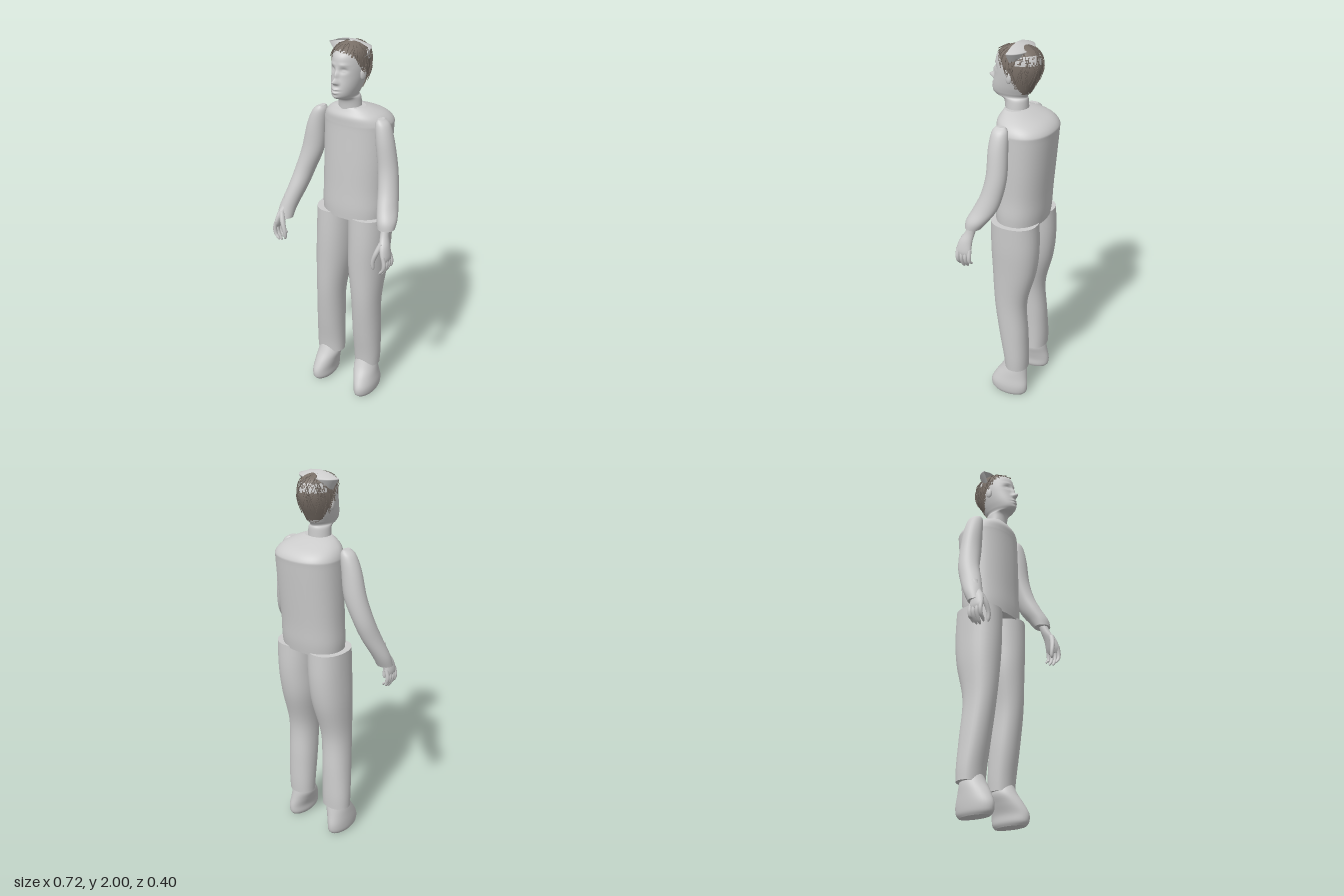
import * as THREE from 'three';
import { mergeGeometries } from 'three/addons/utils/BufferGeometryUtils.js';

const grey = new THREE.MeshStandardMaterial({ color: 0xcccccc, side: THREE.DoubleSide });
grey.name = 'plain grey';
const brown = new THREE.MeshStandardMaterial({ color: 0x7a7068, side: THREE.DoubleSide });
brown.name = 'hair brown';

let seed = 7;
const rnd = () => (seed = (seed * 16807) % 2147483647) / 2147483647;

// Smoothly interpolated section [y, cx, cz, rx, rz] at row position t
function section(rows, t) {
  const i = Math.min(Math.floor(t), rows.length - 2), f = t - i;
  const at = k => rows[Math.max(0, Math.min(rows.length - 1, k))];
  return at(i).map((b, c) => {
    const a = at(i - 1)[c], d = at(i + 1)[c], e = at(i + 2)[c];
    return b + 0.5 * f * (d - a + f * (2 * a - 5 * b + 4 * d - e + f * (3 * (b - d) + e - a)));
  });
}

// Point on a section at angle a; power < 1 squares the oval
function pointOn([y, cx, cz, rx, rz], a, power = 1, outset = 0) {
  const round = v => Math.sign(v) * Math.abs(v) ** power;
  return [cx + (Math.max(rx, 0.001) + outset) * round(Math.cos(a)), y,
    cz + (Math.max(rz, 0.001) + outset) * round(Math.sin(a))];
}

// Skin through oval sections listed from top to bottom
function loft(rows, { sides = 32, steps = 5, power = 1, outset = 0, move, keep, caps = true } = {}) {
  const pos = [], index = [], n = (rows.length - 1) * steps;
  for (let j = 0; j <= n; j++) for (let i = 0; i < sides; i++) {
    const a = i / sides * Math.PI * 2;
    const p = pointOn(section(rows, j / steps), a, power, outset);
    if (move) move(p, a);
    pos.push(...p);
  }
  for (let j = 0; j < n; j++) for (let i = 0; i < sides; i++) {
    const k = (i + 1) % sides, A = j * sides + i, B = j * sides + k;
    if (keep && !keep(pos[A * 3], pos[A * 3 + 1], pos[A * 3 + 2])) continue;
    index.push(A, B, A + sides, B, B + sides, A + sides);
  }
  if (caps) for (const [row, j] of [[rows[0], 0], [rows.at(-1), n]]) {
    const c = pos.length / 3;
    pos.push(row[1], row[0], row[2], ...pos.slice(j * sides * 3, (j + 1) * sides * 3));
    for (let i = 0; i < sides; i++) {
      const p = c + 1 + i, q = c + 1 + (i + 1) % sides;
      index.push(c, ...(j ? [p, q] : [q, p]));
    }
  }
  const g = new THREE.BufferGeometry();
  g.setAttribute('position', new THREE.Float32BufferAttribute(pos, 3));
  g.setIndex(index);
  g.computeVertexNormals();
  return g;
}

const HEAD = [
  [1.993, 0.02, 0, 0.012, 0.015], [1.973, 0.02, 0, 0.052, 0.072], [1.94, 0.02, 0.005, 0.072, 0.107],
  [1.89, 0.02, 0.006, 0.079, 0.117], [1.84, 0.02, 0.015, 0.076, 0.113], [1.79, 0.02, 0.033, 0.066, 0.106],
  [1.755, 0.02, 0.044, 0.055, 0.098], [1.735, 0.02, 0.043, 0.048, 0.083],
  [1.715, 0.02, 0.018, 0.054, 0.062], [1.64, 0.02, 0.012, 0.062, 0.058],
];

// Face relief: [x, y, width, height, depth]
const RELIEF = [
  [0, 1.822, 0.011, 0.011, 0.032], [0, 1.85, 0.009, 0.02, 0.016], [0.012, 1.815, 0.007, 0.007, 0.01],
  [0.03, 1.873, 0.016, 0.011, -0.014], [0.03, 1.871, 0.01, 0.006, 0.008], [0.03, 1.9, 0.02, 0.007, 0.004],
  [0, 1.785, 0.018, 0.005, 0.009], [0, 1.769, 0.016, 0.006, 0.009], [0, 1.777, 0.02, 0.002, -0.005],
  [0, 1.745, 0.018, 0.01, 0.005],
];

function shapeFace(p, a) {
  if (Math.sin(a) <= 0.2) return;
  const x = Math.abs(p[0] - 0.02), y = p[1];
  for (const [bx, by, w, h, d] of RELIEF)
    p[2] += d * Math.exp(-(((x - bx) / w) ** 2) - ((y - by) / h) ** 2);
}

// Lowest height hair reaches at depth z
const hairline = z => z > 0.02
  ? 1.86 + (z - 0.02) / 0.07 * 0.085
  : Math.max(1.745, 1.86 + (z - 0.02) * 2);

export function createModel() {
  const model = new THREE.Group();
  const add = (name, geometry, material = grey, parent = model) => {
    const m = new THREE.Mesh(geometry, material);
    m.name = name;
    parent.add(m);
    return m;
  };

  // Shirt
  add('shirt', loft([
    [1.678, 0.025, 0.01, 0.075, 0.056], [1.662, 0.025, -0.01, 0.115, 0.085], [1.635, 0.028, -0.035, 0.155, 0.125],
    [1.6, 0.03, -0.052, 0.178, 0.143], [1.56, 0.03, -0.052, 0.18, 0.143], [1.4, 0.028, -0.042, 0.178, 0.138],
    [1.25, 0.025, -0.033, 0.175, 0.132], [1.15, 0.025, -0.028, 0.177, 0.13], [1.09, 0.025, -0.025, 0.173, 0.125],
  ], { sides: 48, power: 0.9 }));

  // Trouser legs
  const legs = {
    leftTrouserLeg: [[1.1, 0.122, -0.025, 0.106, 0.125], [0.95, 0.12, -0.025, 0.102, 0.128],
      [0.8, 0.115, -0.018, 0.095, 0.118], [0.6, 0.12, 0.002, 0.076, 0.088], [0.4, 0.115, -0.012, 0.076, 0.078],
      [0.25, 0.112, -0.025, 0.074, 0.068], [0.17, 0.11, -0.028, 0.07, 0.063]],
    rightTrouserLeg: [[1.1, -0.08, -0.025, 0.1, 0.125], [0.95, -0.086, -0.025, 0.099, 0.128],
      [0.8, -0.095, -0.018, 0.094, 0.118], [0.6, -0.11, 0.002, 0.076, 0.088], [0.4, -0.125, -0.012, 0.077, 0.078],
      [0.25, -0.135, -0.025, 0.08, 0.068], [0.17, -0.137, -0.028, 0.08, 0.063]],
  };
  for (const [name, rows] of Object.entries(legs)) add(name, loft(rows, { power: 0.92 }));

  // Shoes
  const shoe = cx => loft([
    [0.21, cx[0], -0.02, 0.05, 0.055], [0.16, cx[0], -0.012, 0.063, 0.072], [0.11, cx[1], 0.0, 0.06, 0.092],
    [0.06, cx[2], 0.008, 0.055, 0.108], [0.02, cx[2], 0.009, 0.052, 0.106], [0, cx[2], 0.008, 0.043, 0.09],
  ]);
  add('leftShoe', shoe([0.112, 0.123, 0.135]));
  add('rightShoe', shoe([-0.137, -0.144, -0.15]));

  // Sleeves
  add('leftSleeve', loft([
    [1.638, 0.2, 0.01, 0.014, 0.025], [1.61, 0.21, 0.01, 0.036, 0.042], [1.53, 0.226, 0.012, 0.046, 0.05],
    [1.4, 0.245, 0.012, 0.05, 0.053], [1.3, 0.262, 0.03, 0.05, 0.057], [1.22, 0.28, 0.06, 0.05, 0.062],
    [1.16, 0.3, 0.095, 0.05, 0.056], [1.12, 0.306, 0.113, 0.045, 0.043],
  ]));
  add('rightSleeve', loft([
    [1.638, -0.155, 0.01, 0.014, 0.025], [1.61, -0.167, 0.01, 0.038, 0.042], [1.53, -0.188, 0.012, 0.052, 0.05],
    [1.4, -0.212, 0.015, 0.06, 0.055], [1.28, -0.25, 0.035, 0.054, 0.057], [1.18, -0.277, 0.07, 0.05, 0.057],
    [1.08, -0.308, 0.112, 0.047, 0.048], [1.02, -0.316, 0.136, 0.044, 0.04],
  ]));

  // Hands: palm, four curled fingers and a thumb
  for (const s of [1, -1]) {
    const hand = new THREE.Group();
    hand.name = s > 0 ? 'leftHand' : 'rightHand';
    model.add(hand);
    const limb = (name, rows, sides) =>
      add(name, loft(rows.map(([y, x, ...r]) => [y, x * s, ...r]), { sides, steps: 4 }), grey, hand);
    limb('palm', [[1.15, 0.305, 0.11, 0.022, 0.025], [1.09, 0.31, 0.13, 0.021, 0.026],
      [1.04, 0.325, 0.15, 0.022, 0.036], [0.99, 0.338, 0.156, 0.018, 0.041], [0.965, 0.343, 0.156, 0.01, 0.034]], 20);
    for (let i = 0; i < 4; i++) {
      const z = 0.122 + i * 0.022, tip = 0.887 + [0.022, 0.006, 0, 0.01][i];
      limb('finger', [[1.0, 0.338, z, 0.01, 0.01], [0.96, 0.347, z, 0.011, 0.011], [0.93, 0.343, z, 0.01, 0.01],
        [tip + 0.012, 0.328, z, 0.009, 0.009], [tip, 0.321, z, 0.004, 0.004]], 10);
    }
    limb('thumb', [[1.06, 0.315, 0.165, 0.014, 0.014], [1.01, 0.298, 0.182, 0.014, 0.014],
      [0.96, 0.282, 0.188, 0.011, 0.011], [0.925, 0.28, 0.186, 0.009, 0.009], [0.912, 0.282, 0.185, 0.004, 0.004]], 12);
  }

  // Head with neck, and ears
  add('head', loft(HEAD, { sides: 80, steps: 10, move: shapeFace }));
  for (const s of [1, -1]) {
    const ear = add('ear', new THREE.SphereGeometry(1, 16, 12));
    ear.scale.set(0.01, 0.03, 0.018);
    ear.position.set(0.02 + s * 0.079, 1.845, 0.02);
    ear.rotation.y = s * -0.3;
  }

  // Hair shell with a ragged edge and a bare band behind the crown
  add('hair', loft(HEAD.slice(0, 7), {
    sides: 72, steps: 8, outset: 0.006, caps: false,
    keep: (x, y, z) => y > hairline(z) + rnd() * 0.03 && !(z < -0.02 && y > 1.915 && y < 1.955 && rnd() < 0.75),
  }), brown);

  // Loose strands lying over the shell
  const strands = [];
  for (let k = 0; k < 150; k++) {
    let a = rnd() * Math.PI * 2;
    const points = [], start = 0.3 + rnd() * 3.5, drift = (rnd() - 0.5) * 0.15, out = 0.007 + rnd() * 0.006;
    for (let i = 0; i < 6; i++, a += drift) {
      const p = pointOn(section(HEAD, Math.min(start + i * 0.3, 6)), a, 1, out);
      if (p[1] < hairline(p[2]) - 0.015) break;
      points.push(new THREE.Vector3(...p));
    }
    if (points.length > 2) strands.push(new THREE.TubeGeometry(new THREE.CatmullRomCurve3(points), 8, 0.0018, 3));
  }
  add('hairStrands', mergeGeometries(strands), brown);

  // Flared half cap across the crown
  const cap = add('crownCap', new THREE.LatheGeometry(
    [[0.078, -0.062], [0.095, -0.035], [0.117, -0.004], [0.118, 0.001], [0.1, 0.006], [0.06, 0.021], [0, 0.028]]
      .map(p => new THREE.Vector2(...p)), 32, Math.PI / 2, Math.PI));
  cap.scale.z = 0.66;
  cap.position.set(0.017, 1.972, 0.015);

  return model;
}
